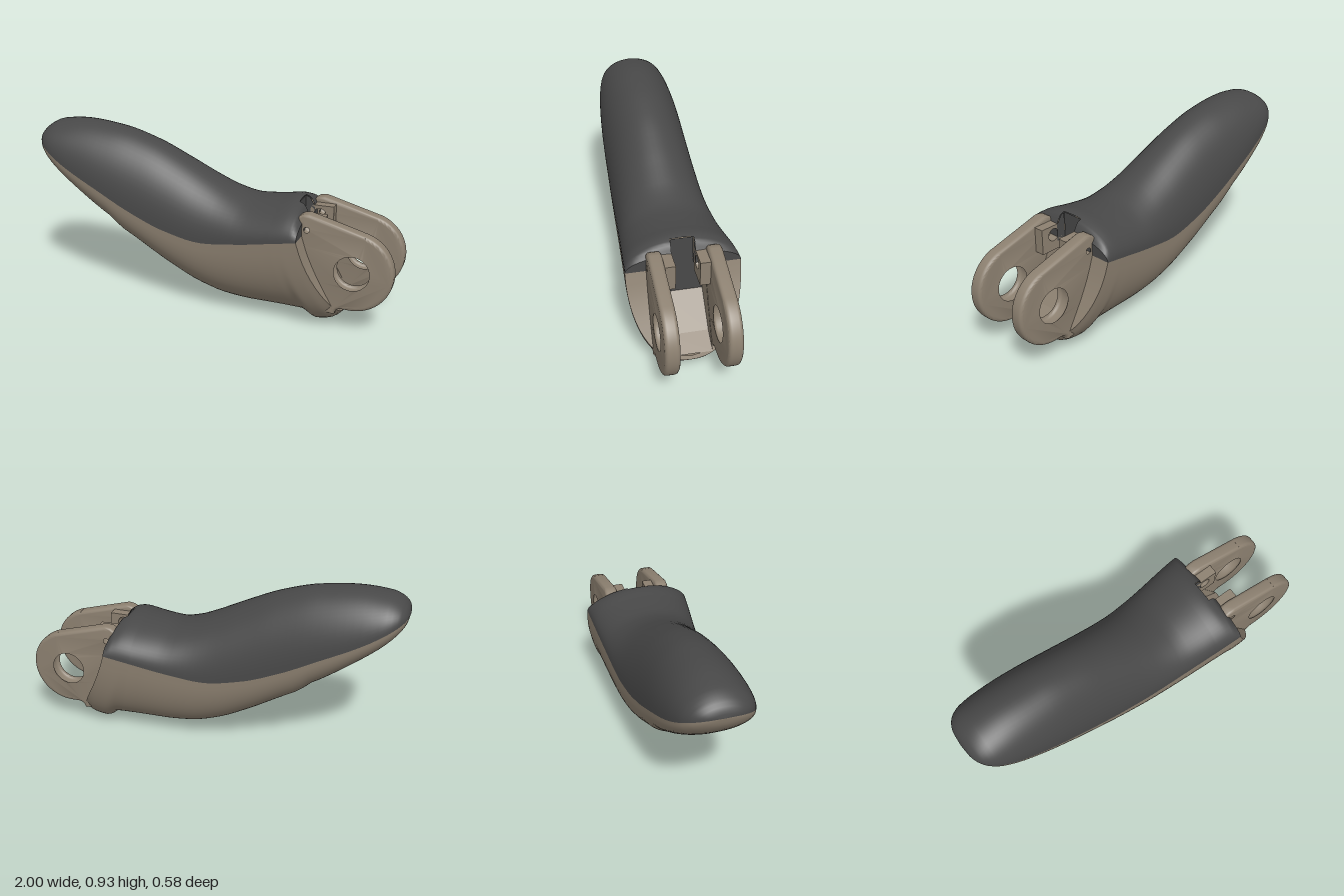
import * as THREE from 'three';
import { toCreasedNormals } from 'three/addons/utils/BufferGeometryUtils.js';

const dark = new THREE.MeshStandardMaterial({ color: 0x484848, side: THREE.DoubleSide });
const tan = new THREE.MeshStandardMaterial({ color: 0x8c8070, side: THREE.DoubleSide });

// Monotone smooth interpolation through [x, value] pairs
function curve(pts) {
  const d = pts.slice(1).map((p, i) => (p[1] - pts[i][1]) / (p[0] - pts[i][0]));
  const m = pts.map((_, i) => {
    if (i === 0) return d[0];
    if (i === d.length) return d[i - 1];
    return d[i - 1] * d[i] <= 0 ? 0 : 2 * d[i - 1] * d[i] / (d[i - 1] + d[i]);
  });
  return (x) => {
    x = Math.min(Math.max(x, pts[0][0]), pts[pts.length - 1][0]);
    let i = 0;
    while (i < d.length - 1 && x > pts[i + 1][0]) i++;
    const h = pts[i + 1][0] - pts[i][0], t = (x - pts[i][0]) / h, s = 1 - t;
    return pts[i][1] * (1 + 2 * t) * s * s + m[i] * h * t * s * s
      + pts[i + 1][1] * t * t * (3 - 2 * t) - m[i + 1] * h * t * t * s;
  };
}

// Side and plan outlines of the grip
const topY = curve([[-1, 0.83], [-0.99, 0.862], [-0.97, 0.888], [-0.9, 0.922], [-0.76, 0.935], [-0.55, 0.915],
  [-0.35, 0.86], [-0.15, 0.77], [0, 0.695], [0.12, 0.642], [0.23, 0.616], [0.35, 0.622], [0.45, 0.634], [0.5, 0.622], [0.53, 0.575]]);
const seamY = curve([[-1, 0.83], [-0.8, 0.71], [-0.6, 0.61], [-0.4, 0.51], [-0.2, 0.435], [0, 0.4], [0.2, 0.425], [0.4, 0.465], [0.53, 0.49]]);
const bottomY = curve([[-1, 0.83], [-0.99, 0.79], [-0.97, 0.755], [-0.9, 0.675], [-0.8, 0.59], [-0.6, 0.44], [-0.53, 0.395],
  [-0.5, 0.36], [-0.4, 0.3], [-0.2, 0.18], [-0.05, 0.105], [0.1, 0.06], [0.25, 0.046], [0.4, 0.045], [0.54, 0.04], [0.6, 0.0], [0.67, 0.012], [0.74, 0.06]]);
const halfWidth = curve([[-1, 0], [-0.995, 0.07], [-0.98, 0.115], [-0.95, 0.153], [-0.9, 0.182], [-0.8, 0.206],
  [-0.6, 0.225], [-0.3, 0.235], [0, 0.247], [0.2, 0.262], [0.4, 0.28], [0.53, 0.29]]);
// Slanted end face: x for a given height
const endX = curve([[0.05, 0.74], [0.13, 0.7], [0.2, 0.66], [0.3, 0.605], [0.4, 0.56], [0.49, 0.53]]);

const SEG = 30, END = 0.53, NOTCH = 0.48;

// Half ring of the grip at station u; sections lean progressively toward the end face
function halfRing(u, upper) {
  const lean = Math.pow(Math.max(u, 0) / END, 2), seam = seamY(u), w = halfWidth(u);
  const h = upper ? topY(u) - seam : bottomY(u + 0.21 * lean) - seam;
  const e = upper ? 1 : 2 / 2.3;
  return Array.from({ length: SEG + 1 }, (_, j) => {
    const a = Math.PI * j / SEG, c = Math.cos(a);
    const z = w * Math.sign(c) * Math.pow(Math.abs(c), e) * (upper ? 1 : -1);
    const y = seam + h * Math.pow(Math.abs(Math.sin(a)), e);
    return [u + (endX(y) - END) * lean, y, z];
  });
}

// Surface through rows of points, with optional omitted cells
function surface(rows, skip = () => false) {
  const n = rows[0].length, index = [];
  for (let i = 0; i < rows.length - 1; i++)
    for (let j = 0; j < n - 1; j++) {
      if (skip(i, j)) continue;
      const a = i * n + j, b = a + n;
      index.push(a, b, b + 1, a, b + 1, a + 1);
    }
  const g = new THREE.BufferGeometry();
  g.setAttribute('position', new THREE.Float32BufferAttribute(rows.flat(2), 3));
  g.setIndex(index);
  g.computeVertexNormals();
  return g;
}

function polygon(points) {
  return new THREE.Shape(points.map(([x, y]) => new THREE.Vector2(x, y)));
}

function addHole(shape, x, y, r) {
  shape.holes.push(new THREE.Path().absarc(x, y, r, 0, Math.PI * 2, true));
}

export function createModel() {
  const group = new THREE.Group();
  const add = (name, geometry, material, z = 0) => {
    const mesh = new THREE.Mesh(geometry, material);
    mesh.name = name;
    mesh.position.z = z;
    group.add(mesh);
  };

  // Stations, closer together at the nose and at the flared end
  const stations = [-1, -0.998, -0.995, -0.99, -0.98, -0.965, -0.95, -0.925, -0.9, -0.87, -0.83];
  for (let x = -0.79; x < 0.37; x += 0.04) stations.push(x);
  for (let k = 0; k <= 10; k++) stations.push(0.38 + k * 0.01);
  const notchRow = stations.length - 1;
  stations.push(0.49, 0.5, 0.51, 0.52, 0.526, END);
  const inNotch = (j) => j >= SEG / 2 - 2 && j < SEG / 2 + 2;

  // Grip pad and lower shell
  add('gripPad', surface(stations.map((u) => halfRing(u, true)), (i, j) => i >= notchRow && inNotch(j)), dark);
  add('lowerShell', surface(stations.map((u) => halfRing(u, false))), tan);

  // End faces, leaving the notch and pocket open
  const padEnd = halfRing(END, true), shellEnd = halfRing(END, false);
  add('padEndFace', surface([padEnd, padEnd.map(([x, , z]) => [x, 0.49, z])], (i, j) => inNotch(j)), dark);
  add('shellEndFace', surface([shellEnd, shellEnd.map(([x, y, z]) => {
    const inner = y > 0.088 ? 0.11 : 0;
    return [x, y, Math.sign(z) * Math.min(Math.abs(z), inner)];
  })]), tan);

  // Pocket: back wall, sloped floor and side walls
  const back = new THREE.PlaneGeometry(0.22, 0.2).rotateY(Math.PI / 2).translate(NOTCH, 0.39, 0);
  add('pocketBack', back, dark);
  add('notchBack', new THREE.PlaneGeometry(0.116, 0.15).rotateY(Math.PI / 2).translate(NOTCH, 0.55, 0), dark);
  const floor = [[NOTCH, 0.3], [0.63, 0.145], [0.725, 0.088]];
  add('pocketFloor', toCreasedNormals(surface(floor.map(([x, y]) => [[x, y, 0.11], [x, y, -0.11]])), 0.2), tan);
  const wall = polygon([...floor, [0.7, 0.13], [0.66, 0.2], [0.605, 0.3], [0.56, 0.4], [END, 0.49], [NOTCH, 0.49]]);
  const notchWall = polygon([[NOTCH, 0.48], [END, 0.48], [END, 0.57], [0.5, 0.615], [NOTCH, 0.622]]);

  // Hinge arm outline: rounded eye, tapering back into the shell
  const arm = new THREE.Shape();
  arm.moveTo(0.48, 0.44);
  arm.lineTo(0.48, 0.565);
  arm.lineTo(0.53, 0.6);
  arm.lineTo(0.565, 0.605);
  arm.lineTo(0.845, 0.527);
  arm.absarc(0.79, 0.328, 0.207, 1.3, -Math.PI / 2, true);
  arm.lineTo(0.745, 0.122);
  arm.quadraticCurveTo(0.715, 0.12, 0.71, 0.09);
  arm.lineTo(0.66, 0.09);
  arm.lineTo(0.6, 0.25);
  addHole(arm, 0.79, 0.325, 0.108);
  addHole(arm, 0.555, 0.525, 0.033);
  const bevel = 0.018;
  const armGeometry = toCreasedNormals(new THREE.ExtrudeGeometry(arm, {
    depth: 0.073 - 2 * bevel, bevelThickness: bevel, bevelSize: bevel, bevelOffset: -bevel, bevelSegments: 4, curveSegments: 24,
  }).translate(0, 0, bevel - 0.0365), 0.6);

  // Small pin lug on the inner face of each arm
  const lug = polygon([[0.5, 0.44], [0.63, 0.44], [0.63, 0.575], [0.5, 0.575]]);
  addHole(lug, 0.555, 0.525, 0.033);
  const lugGeometry = new THREE.ExtrudeGeometry(lug, { depth: 0.054, bevelEnabled: false, curveSegments: 16 }).translate(0, 0, -0.027);

  for (const [side, s] of [['left', -1], ['right', 1]]) {
    add(side + 'PocketWall', new THREE.ShapeGeometry(wall), tan, s * 0.11);
    add(side + 'NotchWall', new THREE.ShapeGeometry(notchWall), dark, s * 0.06);
    add(side + 'HingeArm', armGeometry, tan, s * 0.1485);
    add(side + 'PinLug', lugGeometry, tan, s * 0.087);
  }
  return group;
}
